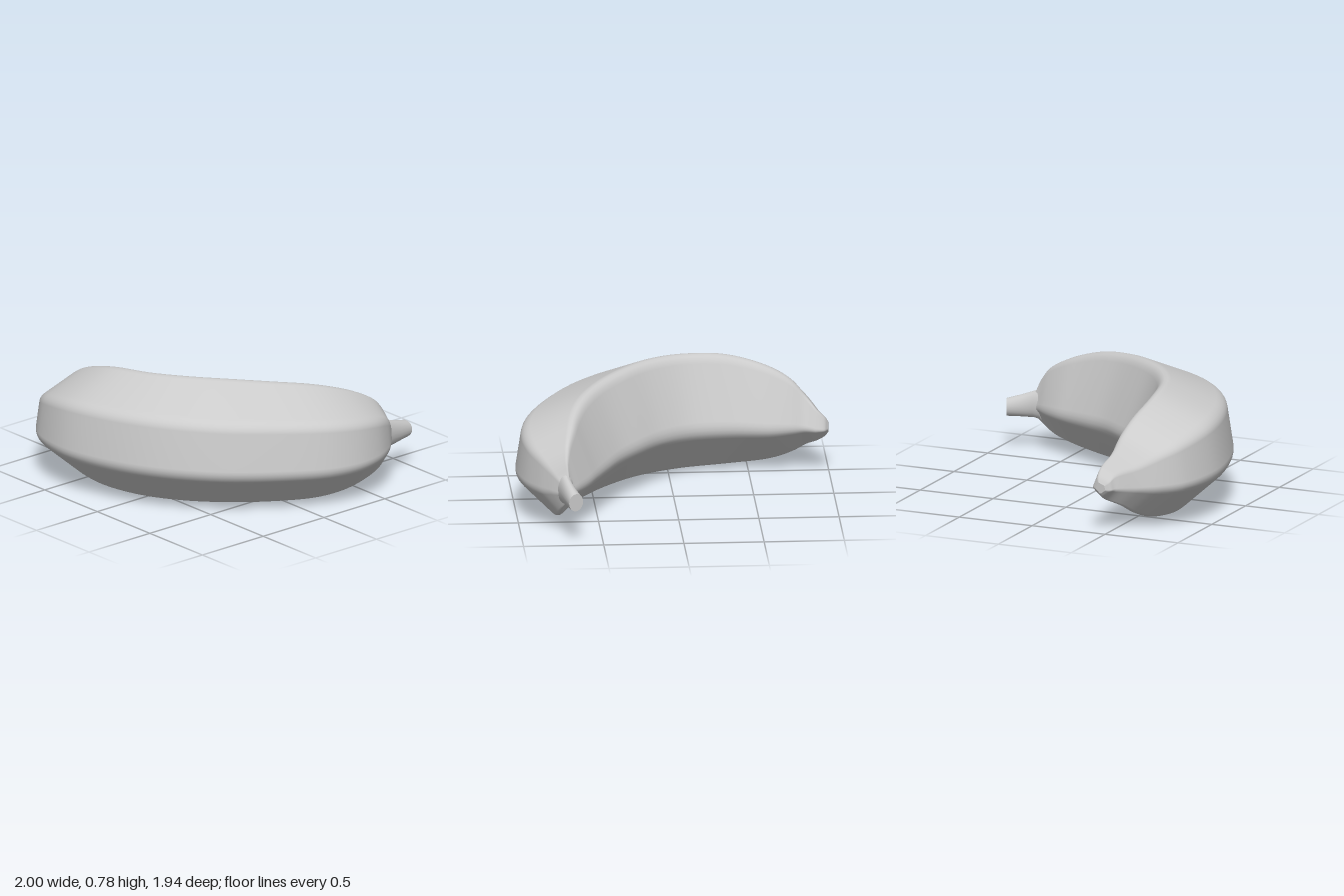
import * as THREE from 'three';

const material = new THREE.MeshStandardMaterial({ color: 0xcccccc, roughness: 0.7 });

// Closed loft through rings of equal length, with a flat cap on each end
function loft(rings) {
  const n = rings[0].length, pos = [], index = [];
  const add = (p) => pos.push(p.x, p.y, p.z) / 3 - 1;
  rings.forEach((ring) => ring.forEach(add));
  for (let i = 0; i < rings.length - 1; i++) {
    for (let j = 0; j < n; j++) {
      const a = i * n + j, b = i * n + (j + 1) % n;
      index.push(a, a + n, b, b, a + n, b + n);
    }
  }
  [rings[0], rings[rings.length - 1]].forEach((ring, end) => {
    const centre = new THREE.Vector3();
    ring.forEach((p) => centre.addScaledVector(p, 1 / n));
    const c = add(centre), first = c + 1;
    ring.forEach(add);
    for (let j = 0; j < n; j++) {
      const a = first + j, b = first + (j + 1) % n;
      if (end) index.push(c, b, a);
      else index.push(c, a, b);
    }
  });
  const geo = new THREE.BufferGeometry();
  geo.setAttribute('position', new THREE.Float32BufferAttribute(pos, 3));
  geo.setIndex(index);
  geo.computeVertexNormals();
  return geo;
}

// Five-sided section: [share of the way from outer to inner edge, share of height]
const CORNERS = [[0.08, 0.78], [0.71, 1], [1, 0.4], [0.5, 0], [0, 0.36]];

// Unit section with softened corners
function softSection(cut, steps) {
  const pts = CORNERS.map(([u, v]) =>
    new THREE.Vector2(0.5 + (u - 0.5) * 1.035, 0.5 + (v - 0.5) * 1.035));
  const out = [];
  pts.forEach((p, i) => {
    const prev = pts[(i + 4) % 5], next = pts[(i + 1) % 5];
    const bend = new THREE.QuadraticBezierCurve(
      p.clone().lerp(prev, cut), p, p.clone().lerp(next, cut));
    out.push(...bend.getPoints(steps));
  });
  return out;
}

// Stations from blossom tip to stem: outer x, z, inner x, z, top y, bottom y
const STATIONS = [
  [-1.0, 0.50, -0.99, 0.43, 0.335, 0.265],
  [-0.985, 0.53, -0.965, 0.40, 0.37, 0.24],
  [-0.95, 0.555, -0.91, 0.39, 0.42, 0.21],
  [-0.89, 0.69, -0.84, 0.40, 0.50, 0.165],
  [-0.80, 0.81, -0.75, 0.38, 0.60, 0.10],
  [-0.66, 0.905, -0.62, 0.36, 0.68, 0.045],
  [-0.36, 0.965, -0.38, 0.35, 0.76, 0.008],
  [0.0, 0.90, -0.13, 0.295, 0.788, 0],
  [0.33, 0.75, 0.05, 0.17, 0.795, 0],
  [0.62, 0.51, 0.20, 0.0, 0.785, 0],
  [0.84, 0.20, 0.32, -0.15, 0.762, 0],
  [0.97, -0.08, 0.41, -0.30, 0.73, 0.002],
  [1.0, -0.30, 0.48, -0.43, 0.685, 0.02],
  [0.965, -0.49, 0.545, -0.56, 0.625, 0.055],
  [0.89, -0.63, 0.62, -0.68, 0.55, 0.105],
  [0.82, -0.71, 0.665, -0.74, 0.465, 0.165],
  [0.76, -0.765, 0.68, -0.765, 0.385, 0.21],
];

function buildBody() {
  const outer = new THREE.CatmullRomCurve3(
    STATIONS.map(([x, z, , , top]) => new THREE.Vector3(x, top, z)));
  const inner = new THREE.CatmullRomCurve3(
    STATIONS.map(([, , x, z, , bottom]) => new THREE.Vector3(x, bottom, z)));
  const section = softSection(0.15, 5);
  const rings = [], count = 80;
  for (let i = 0; i <= count; i++) {
    const o = outer.getPoint(i / count), n = inner.getPoint(i / count);
    rings.push(section.map((s) => new THREE.Vector3(
      THREE.MathUtils.lerp(o.x, n.x, s.x),
      THREE.MathUtils.lerp(n.y, o.y, s.y),
      THREE.MathUtils.lerp(o.z, n.z, s.x))));
  }
  return loft(rings);
}

// Stem rings: centre x, y, z, half width, half height, skew of the cut in z
const STEM = [
  [0.725, 0.30, -0.73, 0.055, 0.10, 0],
  [0.718, 0.298, -0.78, 0.042, 0.086, 0],
  [0.697, 0.285, -0.86, 0.042, 0.071, 0.01],
  [0.669, 0.272, -0.95, 0.045, 0.056, 0.022],
];

function buildStem() {
  const sides = 20;
  return loft(STEM.map(([x, y, z, w, h, skew]) =>
    Array.from({ length: sides }, (_, j) => {
      const a = (j / sides) * Math.PI * 2;
      return new THREE.Vector3(
        x + w * Math.cos(a), y + h * Math.sin(a), z - skew * Math.cos(a));
    })));
}

export function createModel() {
  const group = new THREE.Group();
  group.name = 'banana';
  [['peel', buildBody()], ['stem', buildStem()]].forEach(([name, geo]) => {
    const mesh = new THREE.Mesh(geo, material);
    mesh.name = name;
    group.add(mesh);
  });
  return group;
}
